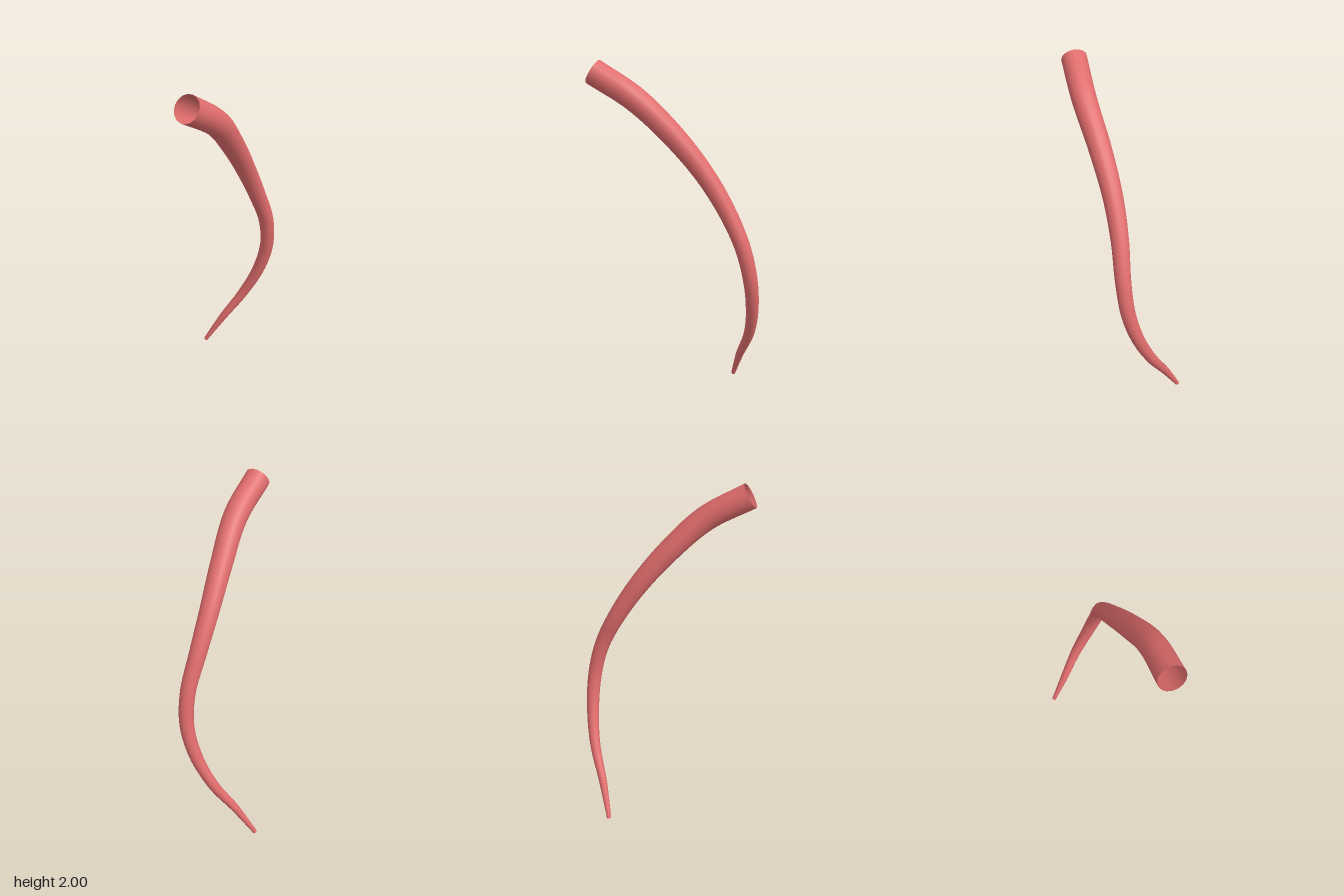
import * as THREE from 'three';

// Centre line from the thin tip up to the wide open end: x, y, z, radius
const STATIONS = [
  [-0.345, 0.005, -0.14, 0.013],
  [-0.265, 0.2, -0.225, 0.024],
  [-0.18, 0.4, -0.326, 0.031],
  [-0.1, 0.6, -0.382, 0.037],
  [-0.043, 0.8, -0.394, 0.041],
  [-0.013, 1.0, -0.355, 0.044],
  [0.008, 1.2, -0.263, 0.049],
  [0.05, 1.4, -0.145, 0.055],
  [0.122, 1.6, 0.0, 0.062],
  [0.217, 1.8, 0.185, 0.068],
  [0.287, 1.938, 0.405, 0.071],
];

// Open tube whose rings are scaled to the radius at each station
function taperedTube(stations, rings, sides) {
  const curve = new THREE.CatmullRomCurve3(stations.map(([x, y, z]) => new THREE.Vector3(x, y, z)));
  const geometry = new THREE.TubeGeometry(curve, rings, 1, sides, false);
  const position = geometry.attributes.position;
  const vertex = new THREE.Vector3();
  for (let i = 0; i <= rings; i++) {
    const u = i / rings;
    const centre = curve.getPointAt(u);
    const s = curve.getUtoTmapping(u) * (stations.length - 1);
    const k = Math.min(Math.floor(s), stations.length - 2);
    const radius = THREE.MathUtils.lerp(stations[k][3], stations[k + 1][3], s - k);
    for (let j = 0; j <= sides; j++) {
      const index = i * (sides + 1) + j;
      vertex.fromBufferAttribute(position, index).sub(centre).multiplyScalar(radius).add(centre);
      position.setXYZ(index, vertex.x, vertex.y, vertex.z);
    }
  }
  return geometry;
}

export function createModel() {
  const group = new THREE.Group();
  const material = new THREE.MeshStandardMaterial({ color: 0xe06c6c, side: THREE.DoubleSide });
  const tube = new THREE.Mesh(taperedTube(STATIONS, 64, 16), material);
  tube.name = 'curvedTaperedTube';
  group.add(tube);
  return group;
}
